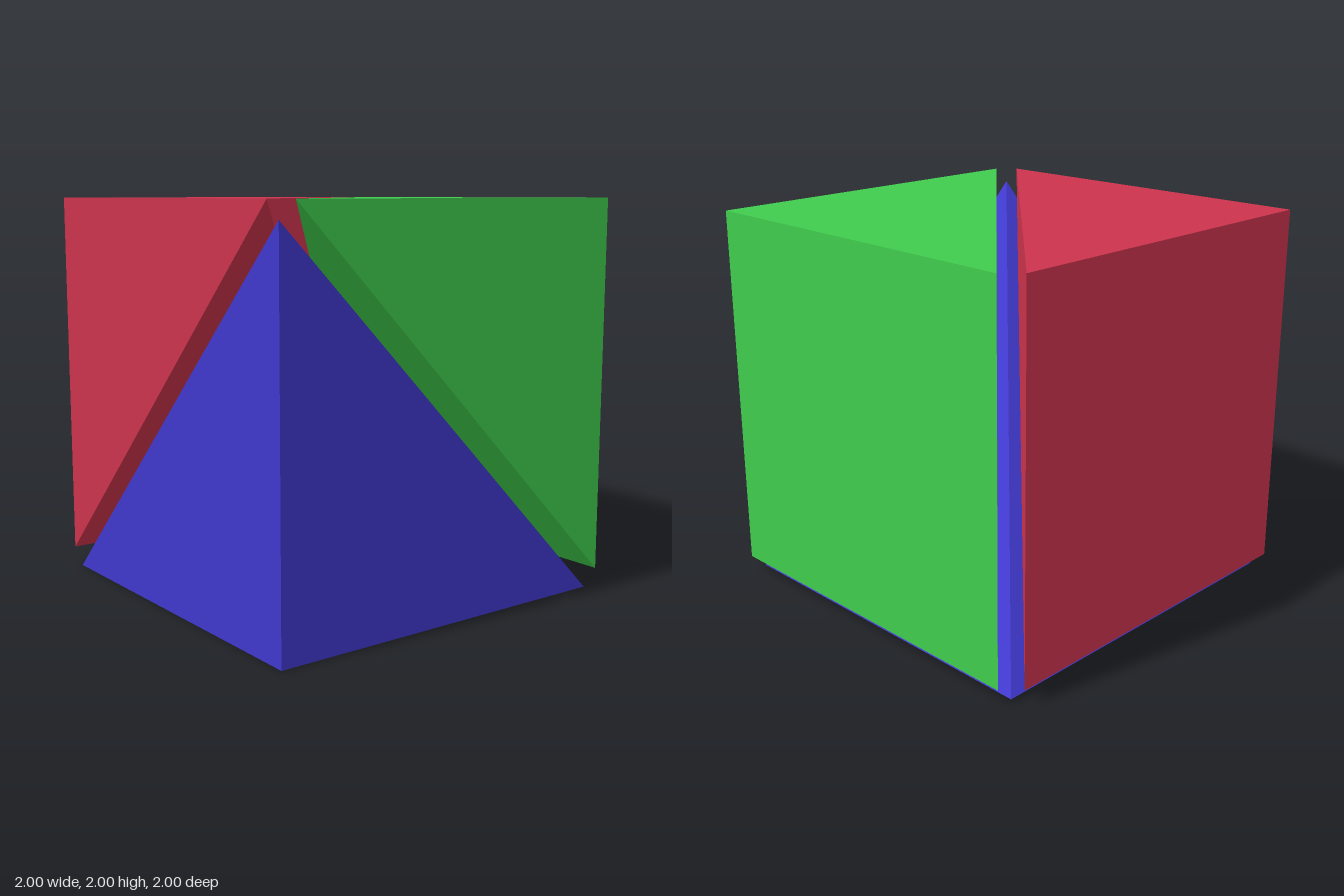
import * as THREE from 'three';
import { ConvexGeometry } from 'three/addons/geometries/ConvexGeometry.js';

const EDGE = 1.915; // cube edge 2 minus the gap between the pieces

// Oblique pyramid: a square base with the apex straight above one base corner (foot).
// dir holds the signed x, y, z extents; axis is the index of the height direction.
function pyramid(name, color, foot, dir, axis) {
  const corner = new THREE.Vector3(...foot);
  const edges = dir.map((s, i) => new THREE.Vector3().setComponent(i, s * EDGE));
  const [a, b] = edges.filter((_, i) => i !== axis);
  const points = [
    corner,
    corner.clone().add(a),
    corner.clone().add(b),
    corner.clone().add(a).add(b),
    corner.clone().add(edges[axis]), // apex
  ];
  const mesh = new THREE.Mesh(
    new ConvexGeometry(points),
    new THREE.MeshStandardMaterial({ color, flatShading: true })
  );
  mesh.name = name;
  return mesh;
}

export function createModel() {
  const group = new THREE.Group();
  group.name = 'cubeOfThreePyramids';
  group.add(
    pyramid('bottomPyramid', 0x4038cc, [1, 0, 1], [-1, 1, -1], 1),
    pyramid('rightPyramid', 0xcc334d, [-1, 2, 1], [1, -1, -1], 0),
    pyramid('backPyramid', 0x40cc4d, [1, 2, -1], [-1, -1, 1], 2)
  );
  return group;
}
